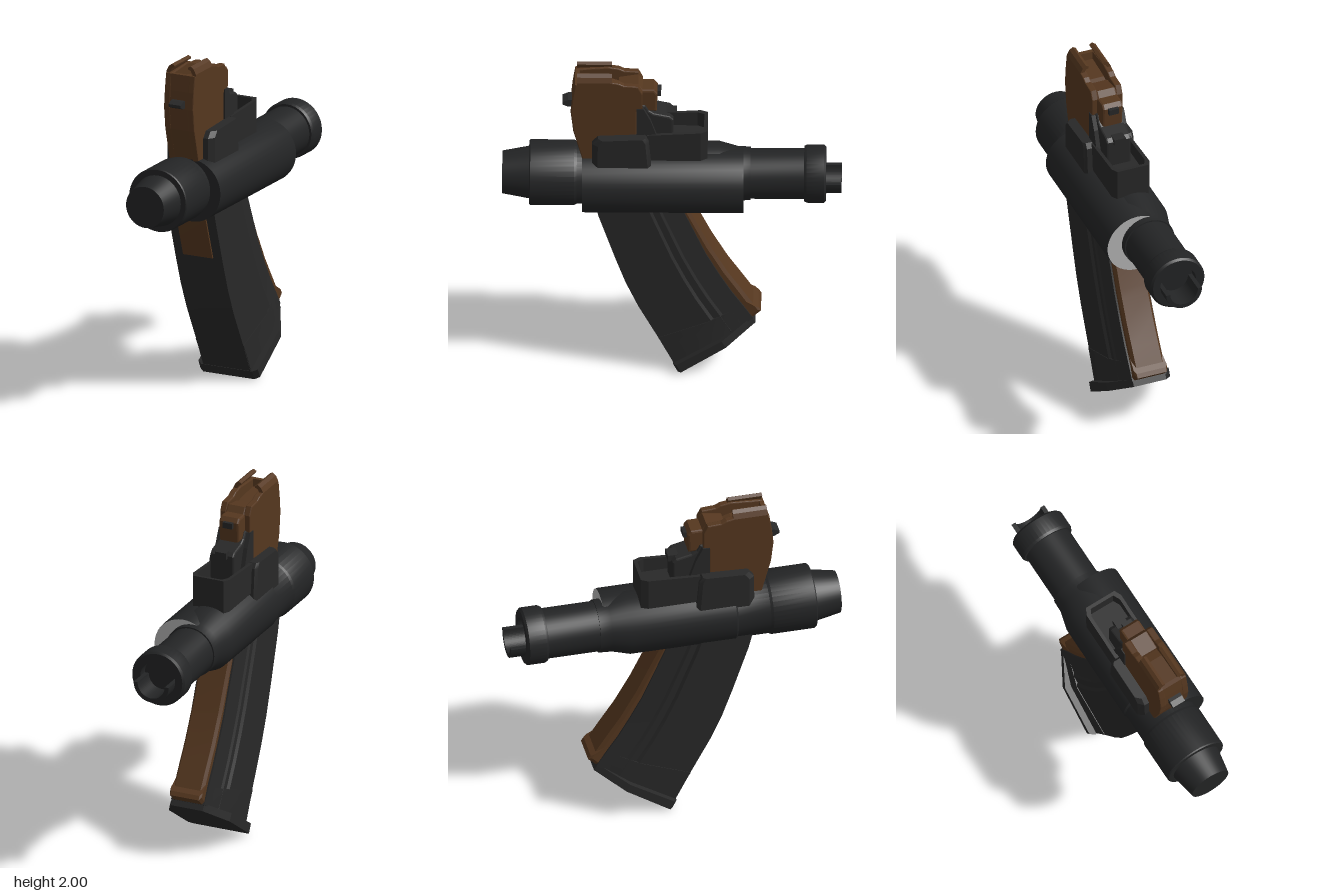
import * as THREE from 'three';
import { toCreasedNormals } from 'three/addons/utils/BufferGeometryUtils.js';

const material = (name, color) => {
  const m = new THREE.MeshStandardMaterial({ color });
  m.name = name;
  return m;
};

const CX = -0.022; // centre line of the magazine
const TX = -0.03;  // centre line of the tube
const TY = 1.265;

// Turned part around the z axis, profile of [radius, z] with rising z
function turned(profile, sides = 40) {
  const g = new THREE.LatheGeometry(profile.map(([r, z]) => new THREE.Vector2(r, z)), sides);
  return toCreasedNormals(g.rotateX(Math.PI / 2), 0.5);
}

// Side profile of [z, y] points extruded across x
function sideProfile(points, width, x, bevel = 0) {
  const shape = new THREE.Shape(points.map(([z, y]) => new THREE.Vector2(z, y)));
  const depth = width - 2 * bevel;
  const g = new THREE.ExtrudeGeometry(shape, {
    depth, bevelEnabled: bevel > 0, bevelSize: bevel, bevelThickness: bevel, bevelOffset: -bevel, bevelSegments: 2,
  });
  return g.translate(0, 0, -depth / 2).rotateY(-Math.PI / 2).translate(x, 0, 0);
}

// Front profile of [x, y] points extruded from z0 to z1
function frontProfile(points, z0, z1) {
  const shape = new THREE.Shape(points.map(([x, y]) => new THREE.Vector2(x, y)));
  return new THREE.ExtrudeGeometry(shape, { depth: z1 - z0, bevelEnabled: false }).translate(0, 0, z0);
}

// Loft downward through stations [frontZ, frontY, backZ, backY];
// the half section lists [fraction from front to back, half width]
function loft(stations, half) {
  const section = [...half, ...half.map(([u, w]) => [u, -w]).reverse()];
  const n = section.length;
  const pos = [], index = [];
  for (const [fz, fy, bz, by] of stations) {
    for (const [u, w] of section) pos.push(CX + w, fy + (by - fy) * u, fz + (bz - fz) * u);
  }
  for (let i = 0; i < stations.length - 1; i++) {
    for (let j = 0; j < n; j++) {
      const a = i * n + j, b = i * n + (j + 1) % n;
      index.push(a, a + n, b, b, a + n, b + n);
    }
  }
  [0, stations.length - 1].forEach((s, end) => {
    const [fz, fy, bz, by] = stations[s];
    const c = pos.length / 3;
    pos.push(CX, (fy + by) / 2, (fz + bz) / 2);
    for (let j = 0; j < n; j++) {
      const a = s * n + j, b = s * n + (j + 1) % n;
      index.push(c, end ? b : a, end ? a : b);
    }
  });
  const g = new THREE.BufferGeometry();
  g.setAttribute('position', new THREE.Float32BufferAttribute(pos, 3));
  g.setIndex(index);
  return toCreasedNormals(g, 0.35);
}

const box = (w, h, d, x, y, z) => new THREE.BoxGeometry(w, h, d).translate(x, y, z);

export function createModel() {
  const tubeBlack = material('tube black', 0x232425);
  const gripBlack = material('grip black', 0x282828);
  const brown = material('brown', 0x55371f);
  const pale = material('pale grey', 0xb4b4b4);

  const model = new THREE.Group();
  const add = (name, geometry, mat) => {
    const mesh = new THREE.Mesh(geometry, mat);
    mesh.name = name;
    model.add(mesh);
    return mesh;
  };

  // Main tube with front cone, collars and recessed rear end
  add('tube', turned([
    [0, -0.82], [0.11, -0.82], [0.11, -0.88], [0.155, -0.88], [0.166, -0.868], [0.166, -0.77],
    [0.158, -0.755], [0.145, -0.755], [0.145, -0.45], [0.153, -0.45], [0.155, -0.38], [0.185, -0.27],
    [0.187, 0.34], [0.179, 0.35], [0.179, 0.54], [0.187, 0.555], [0.187, 0.805], [0.182, 0.812],
    [0.15, 0.812], [0.122, 0.965], [0, 0.965],
  ]).translate(TX, TY, 0), tubeBlack);

  // Half ring prong at the rear
  const ring = new THREE.Shape();
  ring.absarc(0, 0, 0.11, Math.PI, 2 * Math.PI, false);
  ring.absarc(0, 0, 0.085, 2 * Math.PI, Math.PI, true);
  add('rearProng', new THREE.ExtrudeGeometry(ring, { depth: 0.15, bevelEnabled: false, curveSegments: 16 })
    .translate(TX, TY, -0.968), tubeBlack);

  // Side shell with its pale rear end
  add('sideShell', turned([[0.183, -0.41], [0.185, -0.4], [0.185, 0.51], [0, 0.51]])
    .translate(0.03, 1.255, 0), tubeBlack);
  add('shellEnd', new THREE.CircleGeometry(0.183, 40).rotateY(Math.PI).translate(0.03, 1.255, -0.41), pale);

  // Curved grip with a side groove
  add('grip', loft([
    [0.46, 1.25, -0.01, 1.22], [0.415, 1.07, -0.07, 1.07], [0.32, 0.78, -0.195, 0.78],
    [0.26, 0.61, -0.27, 0.64], [0.19, 0.45, -0.34, 0.52], [0.08, 0.24, -0.415, 0.41], [-0.015, 0.05, -0.465, 0.335],
  ], [[0, 0.152], [0.62, 0.152], [0.65, 0.138], [0.73, 0.138], [0.76, 0.128], [1, 0.105]]), gripBlack);

  // Flared foot and base plate
  add('foot', loft([[0.075, 0.23, -0.405, 0.42], [0.04, 0.17, -0.43, 0.385], [-0.02, 0.045, -0.46, 0.33]],
    [[0, 0.155], [0.6, 0.156], [1, 0.1]]), gripBlack);
  add('basePlate', loft([[-0.01, 0.055, -0.455, 0.34], [-0.036, 0.003, -0.478, 0.303]],
    [[0, 0.165], [0.04, 0.192], [0.62, 0.192], [0.95, 0.11], [1, 0.1]]), gripBlack);

  // Brown curved core, seen at the front top and along the back
  add('core', loft([
    [0.5, 1.4, 0, 1.3], [0.427, 1.07, -0.1, 1.07], [0.34, 0.81, -0.225, 0.81], [0.3, 0.81, -0.25, 0.765],
    [0.2, 0.6, -0.32, 0.64], [0.1, 0.4, -0.4, 0.52], [-0.01, 0.15, -0.478, 0.4],
  ], [[0, 0.095], [0.96, 0.095], [1, 0.08]]), brown);
  add('coreLip', loft([[-0.3, 0.52, -0.495, 0.402], [-0.3, 0.48, -0.51, 0.38], [-0.3, 0.43, -0.462, 0.335]],
    [[0, 0.09], [0.9, 0.1], [1, 0.09]]), brown);

  // Brown upper block: stepped side walls with a channel between them
  const wall = [
    [0.2, 1.35], [0.49, 1.35], [0.515, 1.45], [0.56, 1.62], [0.575, 1.75], [0.565, 1.85], [0.55, 1.945],
    [0.36, 1.96], [0.3, 1.95], [0.27, 1.935], [0.19, 1.93], [0.165, 1.88], [0.165, 1.78], [0.2, 1.76],
  ];
  for (const side of [-1, 1]) add('upperWall', sideProfile(wall, 0.04, CX + side * 0.075, 0.006), brown);
  add('upperCore', sideProfile([
    [0.2, 1.35], [0.488, 1.35], [0.513, 1.45], [0.558, 1.62], [0.573, 1.75], [0.563, 1.85], [0.55, 1.945],
    [0.525, 1.945], [0.52, 1.9], [0.35, 1.89], [0.26, 1.86], [0.17, 1.86], [0.17, 1.76],
  ], 0.14, CX), brown);
  add('upperNose', sideProfile([
    [0.3, 1.74], [0.3, 1.9], [0.19, 1.92], [0.165, 1.885], [0.1, 1.885], [0.08, 1.86], [0.085, 1.74],
  ], 0.125, CX, 0.012), brown);

  // Curled lips along the top
  for (const s of [-1, 1]) {
    add('feedLip', frontProfile([
      [0.095, 1.9], [0.095, 1.955], [0.08, 1.985], [0.06, 2], [0.042, 1.99], [0.045, 1.98], [0.06, 1.975],
      [0.073, 1.95], [0.075, 1.9],
    ].map(([x, y]) => [CX + s * x, y]), 0.34, 0.54), brown);
  }

  // Dark nubs and rear catch
  add('frontNub', sideProfile([[0.55, 1.76], [0.59, 1.755], [0.622, 1.77], [0.622, 1.785], [0.59, 1.8], [0.55, 1.8]],
    0.08, CX), gripBlack);
  add('rearNub', box(0.06, 0.035, 0.06, CX, 1.845, 0.09), gripBlack);
  add('rearCatch', sideProfile([
    [0.2, 1.5], [0.195, 1.79], [0.15, 1.785], [0.13, 1.75], [0.1, 1.73], [0.01, 1.71], [-0.01, 1.69], [-0.01, 1.5],
  ], 0.15, CX, 0.01), gripBlack);
  for (const s of [-1, 1]) {
    add('catchSide', sideProfile([[0.2, 1.5], [0.2, 1.78], [0.16, 1.78], [0.12, 1.7], [0.08, 1.58], [0.08, 1.5]],
      0.03, CX + s * 0.085), gripBlack);
  }
  add('catchTab', box(0.07, 0.04, 0.06, CX, 1.695, 0), gripBlack);

  // Chamfered collar around the upper block
  add('collar', loft([
    [0.42, 1.592, 0.15, 1.605], [0.452, 1.555, 0.13, 1.575], [0.455, 1.35, 0.11, 1.35],
  ], [[0, 0.125], [0.1, 0.154], [0.94, 0.154], [1, 0.14]]), gripBlack);

  // Open tray behind the collar
  const outline = (w, back, front, cut) => [
    [-w, front], [w, front], [w, back + cut], [w - cut / 2, back], [-w + cut / 2, back], [-w, back + cut],
  ].map(([x, z]) => new THREE.Vector2(x, -z));
  const tray = new THREE.Shape(outline(0.116, -0.205, 0.14, 0.04));
  tray.holes.push(new THREE.Path(outline(0.096, -0.185, 0.12, 0.04)));
  const trayWall = new THREE.ExtrudeGeometry(tray, { depth: 0.19, bevelEnabled: false })
    .rotateX(-Math.PI / 2).translate(CX - 0.007, 1.425, 0);
  const p = trayWall.attributes.position;
  for (let i = 0; i < p.count; i++) { // rim rises toward the rear
    if (p.getY(i) > 1.5) p.setY(i, 1.612 - 0.06 * p.getZ(i));
  }
  trayWall.computeVertexNormals();
  add('tray', trayWall, gripBlack);
  add('trayFloor', box(0.2, 0.1, 0.32, CX - 0.007, 1.48, -0.035), gripBlack);

  return model;
}
